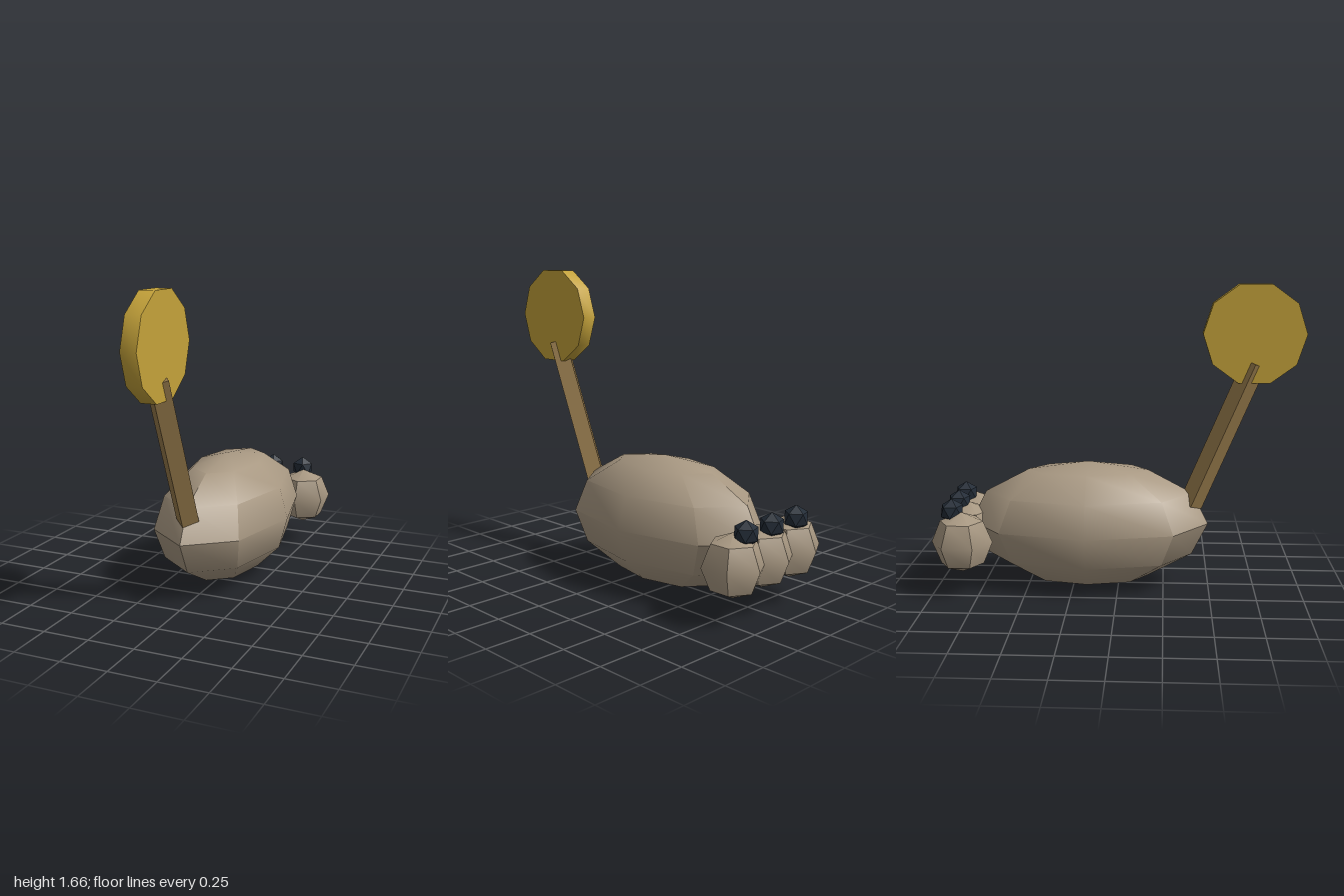
import * as THREE from 'three';
import { toCreasedNormals } from 'three/addons/utils/BufferGeometryUtils.js';

const CREASE = THREE.MathUtils.degToRad(40);

function material(name, color) {
  const m = new THREE.MeshStandardMaterial({ color });
  m.name = name;
  return m;
}

export function createModel() {
  const group = new THREE.Group();
  const taupe = material('taupe', 0xa89882);
  const brown = material('brown', 0x94784a);
  const gold = material('gold', 0xc4a23a);
  const dark = material('dark slate', 0x222b36);

  const add = (name, geometry, mat, x, y, z) => {
    const mesh = new THREE.Mesh(toCreasedNormals(geometry, CREASE), mat);
    mesh.name = name;
    mesh.position.set(x, y, z);
    group.add(mesh);
    return mesh;
  };

  // Long oval body
  add('body', new THREE.SphereGeometry(1, 8, 6).scale(0.35, 0.35, 0.66), taupe, 0, 0.355, -0.165);

  // Three faceted toes at the back, each with a dark claw bead on top
  for (const side of [-1, 0, 1]) {
    const toe = new THREE.SphereGeometry(0.165, 6, 4).rotateY(Math.PI / 6);
    add('toe', toe, taupe, side * 0.22, 0.3, -0.835);
    const claw = new THREE.IcosahedronGeometry(0.067, 0).rotateZ(-Math.atan(2 / (1 + Math.sqrt(5))));
    add('claw', claw, dark, side * 0.195, 0.465, -0.89);
  }

  // Square stem leaning forward, corner to the front
  const stem = add('stem', new THREE.CylinderGeometry(0.065, 0.065, 0.85, 4), brown, 0, 0.857, 0.563);
  stem.rotation.x = 0.4;

  // Ten-sided disc standing on edge
  add('disc', new THREE.CylinderGeometry(0.275, 0.275, 0.084, 10).rotateZ(Math.PI / 2), gold, 0, 1.408, 0.725);

  return group;
}
